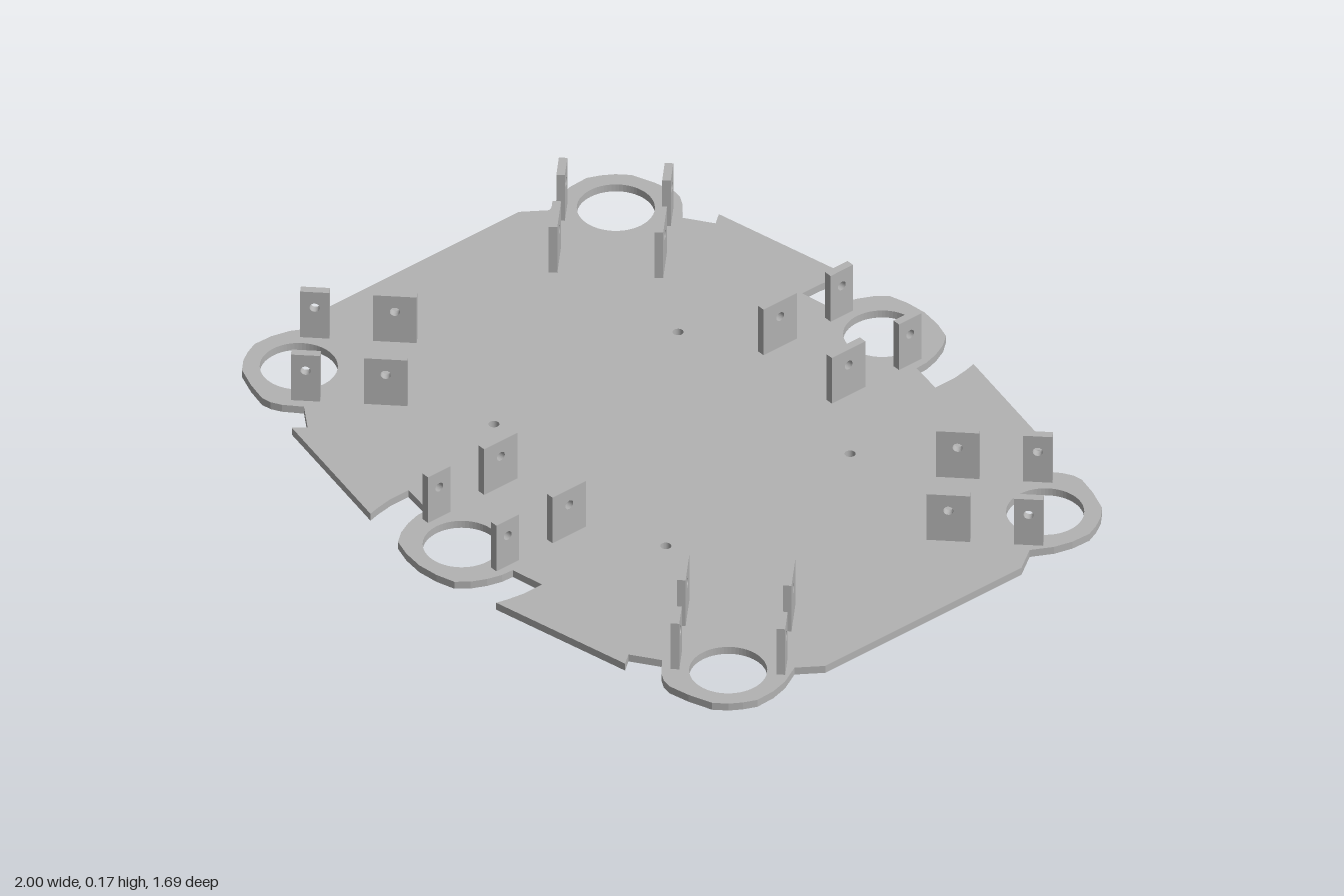
import * as THREE from 'three';

const PLATE = 0.022, TOP = 0.167;

// One quadrant of the plate outline, from the right edge to the front ring tip.
const quadrant = [
  [1, 0.328], [0.955, 0.393], [0.985, 0.45], [0.998, 0.5], [1, 0.555],
  [0.985, 0.59], [0.965, 0.622], [0.935, 0.652], [0.87, 0.676], [0.81, 0.69],
  [0.782, 0.685], [0.755, 0.67], [0.712, 0.632], [0.638, 0.682], [0.663, 0.714],
  [0.25, 0.798], [0.258, 0.765], [0.265, 0.72], [0.265, 0.658], [0.17, 0.675],
  [0.168, 0.71], [0.157, 0.75], [0.138, 0.79], [0.112, 0.822], [0.06, 0.838], [0, 0.845],
];

function circle(x, y, r) {
  return new THREE.Path().absarc(x, y, r, 0, Math.PI * 2, true);
}

// Flat plate with six ring holes and four screw holes.
function plateGeometry() {
  const mirror = (sx, sy) => quadrant.map(([x, y]) => new THREE.Vector2(x * sx, y * sy));
  const outline = [
    ...mirror(1, 1),
    ...mirror(-1, 1).reverse().slice(1),
    ...mirror(-1, -1),
    ...mirror(1, -1).reverse().slice(1),
  ];
  const shape = new THREE.Shape(outline);
  for (const sy of [-1, 1]) {
    shape.holes.push(circle(0, sy * 0.703, 0.1));
    for (const sx of [-1, 1]) {
      shape.holes.push(circle(sx * 0.854, sy * 0.53, 0.1));
      shape.holes.push(circle(sx * 0.342, sy * 0.308, 0.014));
    }
  }
  const geometry = new THREE.ExtrudeGeometry(shape, { depth: PLATE, bevelEnabled: false, curveSegments: 32 });
  return geometry.rotateX(-Math.PI / 2);
}

// Upright tab with a pin hole, its width along x.
function tabGeometry(width) {
  const thickness = 0.022, w = width / 2;
  const shape = new THREE.Shape([[-w, PLATE], [w, PLATE], [w, TOP], [-w, TOP]].map(p => new THREE.Vector2(...p)));
  shape.holes.push(circle(0, 0.118, 0.013));
  const geometry = new THREE.ExtrudeGeometry(shape, { depth: thickness, bevelEnabled: false, curveSegments: 16 });
  return geometry.translate(0, 0, -thickness / 2);
}

export function createModel() {
  const model = new THREE.Group();
  model.name = 'mountingPlate';
  const grey = new THREE.MeshStandardMaterial({ color: 0xb2b2b2 });
  grey.name = 'grey';

  const plate = new THREE.Mesh(plateGeometry(), grey);
  plate.name = 'basePlate';
  model.add(plate);

  // Four tabs beside each ring; local +x points outward.
  const outerTab = tabGeometry(0.075), innerTab = tabGeometry(0.112);
  const mounts = [
    [0, 0.703, 0], [0.854, 0.53, 45], [0.854, -0.53, 135],
    [0, -0.703, 180], [-0.854, -0.53, 225], [-0.854, 0.53, 315],
  ];
  for (const [x, z, degrees] of mounts) {
    const mount = new THREE.Group();
    mount.name = 'legMount';
    mount.position.set(x, 0, z);
    mount.rotation.y = THREE.MathUtils.degToRad(degrees - 90);
    for (const side of [-1, 1]) {
      for (const [name, geometry, offset] of [['outerTab', outerTab, -0.03], ['innerTab', innerTab, -0.236]]) {
        const tab = new THREE.Mesh(geometry, grey);
        tab.name = name;
        tab.position.set(offset, 0, side * 0.136);
        mount.add(tab);
      }
    }
    model.add(mount);
  }
  return model;
}
